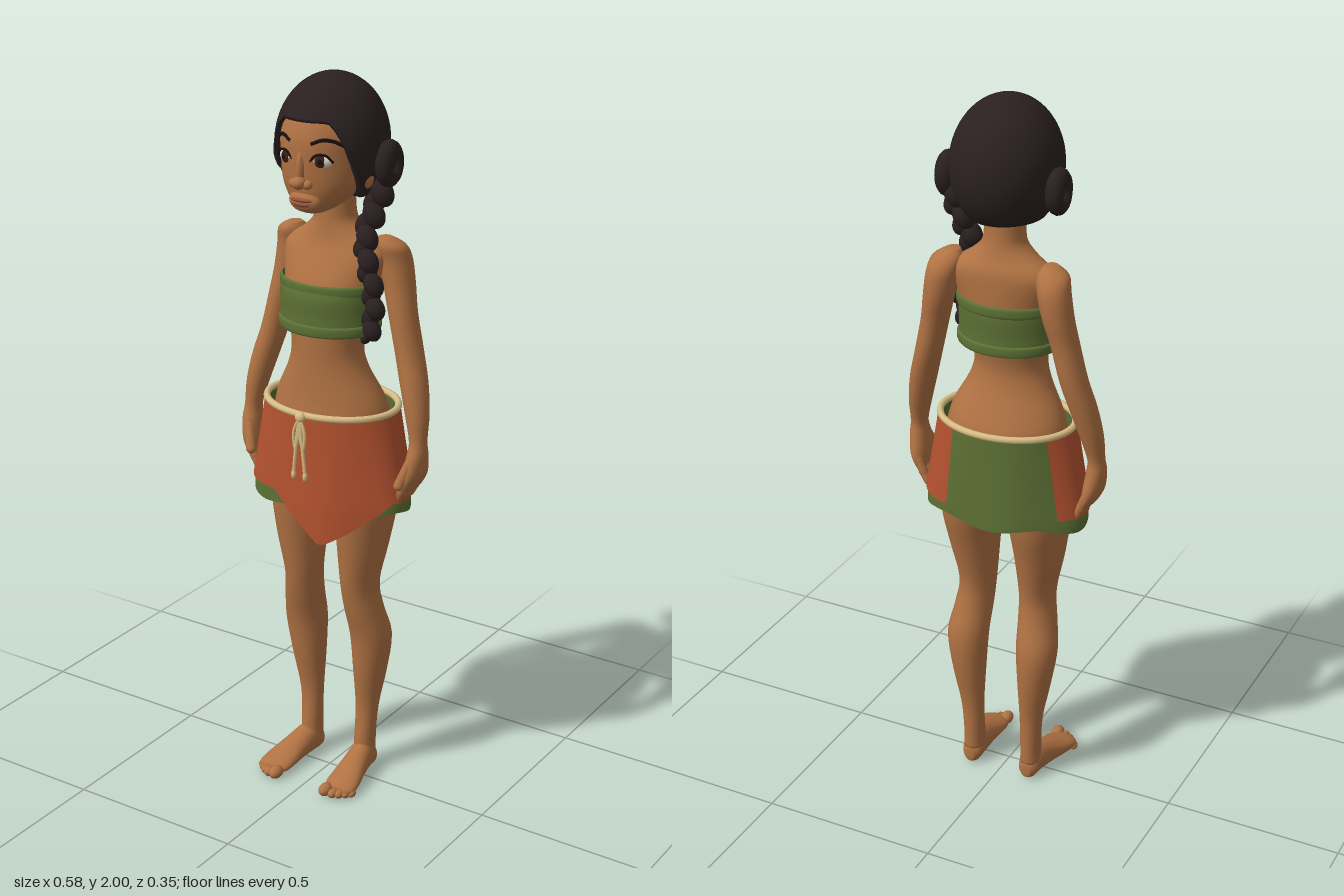
import * as THREE from 'three';

const mat = (name, color, double) => {
  const m = new THREE.MeshStandardMaterial({ color });
  m.name = name;
  if (double) m.side = THREE.DoubleSide;
  return m;
};
const skin = mat('skin', 0xb07243), hair = mat('hair', 0x2b2021);
const green = mat('green cloth', 0x5c7034, true), red = mat('rust cloth', 0xb4522f, true);
const cord = mat('cord', 0xd8bd85), white = mat('eye white', 0xe0d8cc);
const iris = mat('iris', 0x3a2114), black = mat('pupil and brow', 0x17100f), lip = mat('lip', 0x935038);

const V = (x, y, z) => new THREE.Vector3(x, y, z);
const lerp = THREE.MathUtils.lerp, clamp = THREE.MathUtils.clamp;

// Surface from f(angle, row); rows run downwards, angle 0 is the front
function grid(f, nu, rows, a0 = -Math.PI, a1 = Math.PI) {
  const closed = a1 - a0 > 6.28, cols = closed ? nu : nu + 1, pos = [], idx = [];
  for (let i = 0; i < rows; i++)
    for (let j = 0; j < cols; j++) pos.push(...f(lerp(a0, a1, j / nu), i / (rows - 1)));
  for (let i = 0; i < rows - 1; i++)
    for (let j = 0; j < nu; j++) {
      const a = i * cols + j, c = i * cols + ((j + 1) % cols), b = a + cols, d = c + cols;
      idx.push(a, b, c, c, b, d);
    }
  const g = new THREE.BufferGeometry();
  g.setAttribute('position', new THREE.Float32BufferAttribute(pos, 3));
  g.setIndex(idx);
  g.computeVertexNormals();
  return g;
}

// Smooth body of elliptical sections [cx, y, cz, rx, rz], listed from the top down
function loft(sections, capped = true, nu = 28) {
  const n = sections.length - 1, steps = n * 4, extra = capped ? 1 : 0;
  const at = (s, k) => {
    const i = Math.min(Math.floor(s), n - 1), t = s - i;
    const [p, q, r, w] = [i - 1, i, i + 1, i + 2].map(m => sections[clamp(m, 0, n)][k]);
    return q + 0.5 * t * (r - p + t * (2 * p - 5 * q + 4 * r - w + t * (3 * (q - r) + w - p)));
  };
  const rows = steps + 1 + 2 * extra;
  return grid((a, v) => {
    const row = Math.round(v * (rows - 1)) - extra;
    const s = clamp(row, 0, steps) / 4, open = row >= 0 && row <= steps ? 1 : 0;
    return [at(s, 0) + open * Math.max(at(s, 3), 0) * Math.sin(a), at(s, 1),
      at(s, 2) + open * Math.max(at(s, 4), 0) * Math.cos(a)];
  }, nu, rows);
}

function add(parent, name, geo, material, pos, scale) {
  const m = new THREE.Mesh(geo, material);
  m.name = name;
  if (pos) m.position.set(...pos);
  if (scale) m.scale.set(...scale);
  parent.add(m);
  return m;
}
const ball = new THREE.SphereGeometry(1, 20, 14);
const tube = (pts, r, closed = false, n = 24) =>
  new THREE.TubeGeometry(new THREE.CatmullRomCurve3(pts.map(p => V(...p)), closed), n, r, 8, closed);
function limb(parent, name, a, b, r) {
  const d = V(...b).sub(V(...a)), g = new THREE.CapsuleGeometry(r, d.length(), 5, 10);
  const m = add(parent, name, g, skin, V(...a).addScaledVector(d, 0.5).toArray());
  m.quaternion.setFromUnitVectors(V(0, 1, 0), d.normalize());
}

const HEAD = [
  [0, 1.955, -0.015, 0.07, 0.08], [0, 1.92, -0.012, 0.108, 0.122], [0, 1.86, -0.006, 0.122, 0.142],
  [0, 1.80, 0, 0.119, 0.138], [0, 1.74, 0.018, 0.109, 0.116], [0, 1.70, 0.036, 0.086, 0.092],
  [0, 1.672, 0.056, 0.056, 0.064], [0, 1.658, 0.07, 0.03, 0.036]];
// Depth of the face surface at a point
function faceZ(x, y) {
  const i = Math.max(1, HEAD.findIndex(s => s[1] <= y)), p = HEAD[i - 1], q = HEAD[i];
  const t = (y - p[1]) / (q[1] - p[1]), k = x / lerp(p[3], q[3], t);
  return lerp(p[2], q[2], t) + lerp(p[4], q[4], t) * Math.sqrt(Math.max(0, 1 - k * k));
}

function makeHead() {
  const g = new THREE.Group();
  g.name = 'head';
  add(g, 'face', loft(HEAD, true, 36), skin);
  // Nose and mouth
  add(g, 'noseBridge', ball, skin, [0, 1.78, 0.132], [0.012, 0.045, 0.016]);
  add(g, 'noseTip', ball, skin, [0, 1.744, 0.142], [0.019, 0.017, 0.022]);
  add(g, 'muzzle', ball, skin, [0, 1.693, 0.115], [0.046, 0.03, 0.023]);
  add(g, 'upperLip', ball, lip, [0, 1.698, 0.132], [0.032, 0.006, 0.011]);
  add(g, 'lowerLip', ball, lip, [0, 1.687, 0.131], [0.027, 0.008, 0.011]);
  for (const s of [-1, 1]) {
    add(g, 'nostril', ball, skin, [s * 0.02, 1.74, 0.134], [0.014, 0.012, 0.014]);
    add(g, 'ear', ball, skin, [s * 0.118, 1.755, 0.005], [0.014, 0.038, 0.024]);
    // Eye with iris, pupil, lash line and brow
    const eye = new THREE.Group();
    eye.name = 'eye';
    eye.position.set(s * 0.052, 1.802, faceZ(0.052, 1.802) - 0.009);
    eye.rotation.y = s * 0.35;
    add(eye, 'eyeWhite', ball, white, null, [0.028, 0.018, 0.014]);
    add(eye, 'iris', ball, iris, [-s * 0.003, 0, 0.008], [0.0155, 0.0165, 0.008]);
    add(eye, 'pupil', ball, black, [-s * 0.003, 0, 0.0125], [0.008, 0.0085, 0.005]);
    add(eye, 'lashLine', tube([[-0.03, -0.002, 0.006], [-0.016, 0.014, 0.011], [0, 0.018, 0.012],
      [0.016, 0.014, 0.011], [0.03, -0.002, 0.006]], 0.0035), black);
    g.add(eye);
    add(g, 'brow', tube([[0.03, 1.845], [0.055, 1.855], [0.078, 1.852], [0.096, 1.838]]
      .map(([x, y]) => [s * x, y, faceZ(x, y)]), 0.005), black);
  }
  // Hair cap: an ellipsoid cut by a hairline that drops at the temples, turned inward at the hem
  const cap = grid((a, v) => {
    const hem = lerp(1.897, 1.69, THREE.MathUtils.smoothstep(Math.abs(a), 0.5, 1.4));
    const inner = v === 1 ? 0.75 : 1;
    const phi = Math.min(1, v * 25 / 24) * Math.acos((hem - 1.82) / 0.18), r = Math.sin(phi) * inner;
    return [0.144 * r * Math.sin(a), 1.82 + 0.18 * Math.cos(phi), -0.013 + 0.161 * r * Math.cos(a)];
  }, 56, 26);
  add(g, 'hairCap', cap, hair);
  // Coiled side buns
  for (const s of [-1, 1]) {
    const coil = new THREE.TorusGeometry(0.03, 0.021, 12, 24).rotateY(Math.PI / 2);
    add(g, 'bunCoil', coil, hair, [s * 0.155, 1.778, -0.037], [1.1, 1.22, 0.96]);
    add(g, 'bunCore', ball, hair, [s * 0.145, 1.778, -0.037], [0.026, 0.03, 0.026]);
  }
  // Braid over the left shoulder, in alternating lumps
  const path = new THREE.CatmullRomCurve3([V(0.14, 1.73, -0.04), V(0.118, 1.66, -0.03), V(0.108, 1.6, -0.005),
    V(0.125, 1.54, 0.022), V(0.152, 1.47, 0.035), V(0.156, 1.4, 0.035), V(0.138, 1.325, 0.033)]);
  const count = 15;
  for (let i = 0; i < count; i++) {
    const p = path.getPointAt(i / (count - 1)), side = i % 2 ? 1 : -1;
    const r = i === count - 1 ? 0.016 : lerp(0.034, 0.026, i / count);
    const lump = add(g, 'braidLump', ball, hair, [p.x + side * 0.009, p.y, p.z + side * 0.006], [r * 0.85, r * 1.15, r * 0.9]);
    lump.rotation.z = side * 0.5;
  }
  return g;
}

function makeLimbs(s) {
  const g = new THREE.Group(), side = rows => rows.map(([x, ...r]) => [s * x, ...r]);
  g.name = s > 0 ? 'leftLimbs' : 'rightLimbs';
  add(g, 'arm', loft(side([
    [0.14, 1.582, -0.045, 0.018, 0.02], [0.151, 1.56, -0.055, 0.041, 0.04], [0.159, 1.52, -0.068, 0.044, 0.046],
    [0.172, 1.45, -0.068, 0.041, 0.046], [0.188, 1.38, -0.06, 0.037, 0.044], [0.212, 1.28, -0.055, 0.036, 0.044],
    [0.235, 1.20, -0.043, 0.036, 0.042], [0.254, 1.12, -0.03, 0.031, 0.036], [0.264, 1.05, -0.02, 0.023, 0.028],
    [0.264, 1.01, -0.017, 0.026, 0.038], [0.258, 0.96, -0.018, 0.026, 0.05], [0.249, 0.925, -0.018, 0.018, 0.048],
    [0.245, 0.912, -0.018, 0.01, 0.035]])), skin);
  for (let i = 0; i < 4; i++) {
    const z = -0.055 + i * 0.025, end = 0.885 - 0.006 * (i === 1 || i === 2);
    limb(g, 'finger', [s * 0.25, 0.945, z], [s * 0.236, 0.91, z], 0.0125);
    limb(g, 'fingerTip', [s * 0.236, 0.91, z], [s * 0.222, end, z], 0.0115);
  }
  limb(g, 'thumb', [s * 0.258, 0.995, 0.012], [s * 0.238, 0.935, 0.034], 0.014);
  add(g, 'leg', loft(side([
    [0.095, 0.99, -0.02, 0.085, 0.11], [0.101, 0.84, -0.022, 0.081, 0.105], [0.099, 0.72, -0.014, 0.067, 0.084],
    [0.092, 0.60, -0.01, 0.05, 0.064], [0.098, 0.52, -0.022, 0.053, 0.06], [0.107, 0.43, -0.045, 0.058, 0.06],
    [0.102, 0.32, -0.05, 0.047, 0.051], [0.093, 0.20, -0.05, 0.033, 0.033], [0.09, 0.10, -0.045, 0.029, 0.035],
    [0.09, 0.05, -0.042, 0.03, 0.038]])), skin);
  // Foot sections run from toes to heel, then turn to lie along z
  const foot = loft(side([[0.112, 0.142, -0.017, 0.03, 0.012], [0.111, 0.12, -0.019, 0.046, 0.019],
    [0.107, 0.08, -0.026, 0.046, 0.027], [0.1, 0.03, -0.036, 0.039, 0.037], [0.092, -0.03, -0.045, 0.033, 0.046],
    [0.09, -0.065, -0.034, 0.028, 0.034], [0.09, -0.082, -0.03, 0.014, 0.02]])).rotateX(Math.PI / 2);
  add(g, 'foot', foot, skin);
  [[0.084, 0.15, 0.018], [0.108, 0.15, 0.013], [0.124, 0.142, 0.012], [0.139, 0.131, 0.011], [0.151, 0.119, 0.0105]]
    .forEach(([x, z, r]) => add(g, 'toe', ball, skin, [s * x, r, z], [r, r, r * 1.4]));
  return g;
}

function makeClothes() {
  const g = new THREE.Group();
  g.name = 'clothes';
  // Bandeau with thicker hems
  add(g, 'bandeau', loft([[0, 1.465, -0.006, 0.136, 0.106], [0, 1.43, -0.001, 0.138, 0.115],
    [0, 1.38, 0, 0.137, 0.114], [0, 1.33, 0, 0.138, 0.117]], false, 40), green);
  for (const [y, rz, z] of [[1.452, 0.11, -0.005], [1.345, 0.117, 0]])
    add(g, 'bandeauHem', loft([[0, y + 0.015, z, 0.136, rz - 0.002], [0, y + 0.01, z, 0.142, rz + 0.003],
      [0, y - 0.01, z, 0.142, rz + 0.003], [0, y - 0.015, z, 0.136, rz - 0.002]], false, 40), green);
  // Skirt layers flare from the belt to a hem that varies around the body
  const skirt = (hem, grow, a0, a1) => grid((a, v) => {
    const y = lerp(1.118, hem(a), v), k = Math.min(1, (1.118 - y) / 0.25);
    const fold = grow + 0.004 * k * Math.sin(6 * a);
    return [(0.187 + 0.05 * k + fold) * Math.sin(a), y, -0.012 + (0.142 + 0.006 * k + fold) * Math.cos(a)];
  }, 72, 14, a0, a1);
  add(g, 'underskirt', skirt(a => 0.845 + 0.008 * Math.cos(5 * a), 0, -Math.PI, Math.PI), green);
  add(g, 'wrapSkirt', skirt(a => {
    const d = a - 0.24;
    return 0.882 - 0.127 * Math.max(0, 1 - (d < 0 ? -d / 0.66 : d / 0.95));
  }, 0.006, -2.2, 2.62), red);
  // Cord belt with knot, loop and two hanging ends
  const ring = Array.from({ length: 24 }, (_, i) => {
    const a = i / 24 * Math.PI * 2;
    return [0.188 * Math.sin(a), 1.117, -0.012 + 0.145 * Math.cos(a)];
  });
  add(g, 'belt', tube(ring, 0.0095, true, 80), cord);
  add(g, 'beltKnot', ball, cord, [0, 1.113, 0.142], [0.015, 0.015, 0.012]);
  for (const s of [-1, 1]) {
    add(g, 'beltEnd', tube([[0, 1.113, 0.145], [s * 0.008, 1.05, 0.148], [s * 0.018, 0.955, 0.148]], 0.005), cord);
    add(g, 'beltEndKnot', ball, cord, [s * 0.018, 0.95, 0.148], [0.007, 0.014, 0.007]);
    add(g, 'beltLoop', tube([[0, 1.11, 0.146], [s * 0.017, 1.07, 0.148], [s * 0.012, 1.025, 0.148],
      [s * 0.003, 1.06, 0.148]], 0.0045, true), cord);
  }
  return g;
}

export function createModel() {
  const model = new THREE.Group();
  model.name = 'girl';
  // Neck, shoulders, waist and hips in one body
  add(model, 'torso', loft([[0, 1.72, -0.025, 0.052, 0.054], [0, 1.65, -0.026, 0.054, 0.055],
    [0, 1.615, -0.028, 0.062, 0.058], [0, 1.585, -0.031, 0.094, 0.064], [0, 1.56, -0.033, 0.13, 0.072],
    [0, 1.53, -0.028, 0.15, 0.081], [0, 1.47, -0.013, 0.137, 0.096], [0, 1.42, -0.004, 0.128, 0.102],
    [0, 1.36, 0.002, 0.114, 0.096], [0, 1.28, 0.01, 0.1, 0.086], [0, 1.22, 0.006, 0.115, 0.09],
    [0, 1.15, -0.006, 0.152, 0.106], [0, 1.10, -0.012, 0.168, 0.118], [0, 1.0, -0.017, 0.184, 0.13],
    [0, 0.91, -0.018, 0.172, 0.115], [0, 0.86, -0.018, 0.11, 0.08]], true, 40), skin);
  model.add(makeHead(), makeLimbs(1), makeLimbs(-1), makeClothes());
  return model;
}
